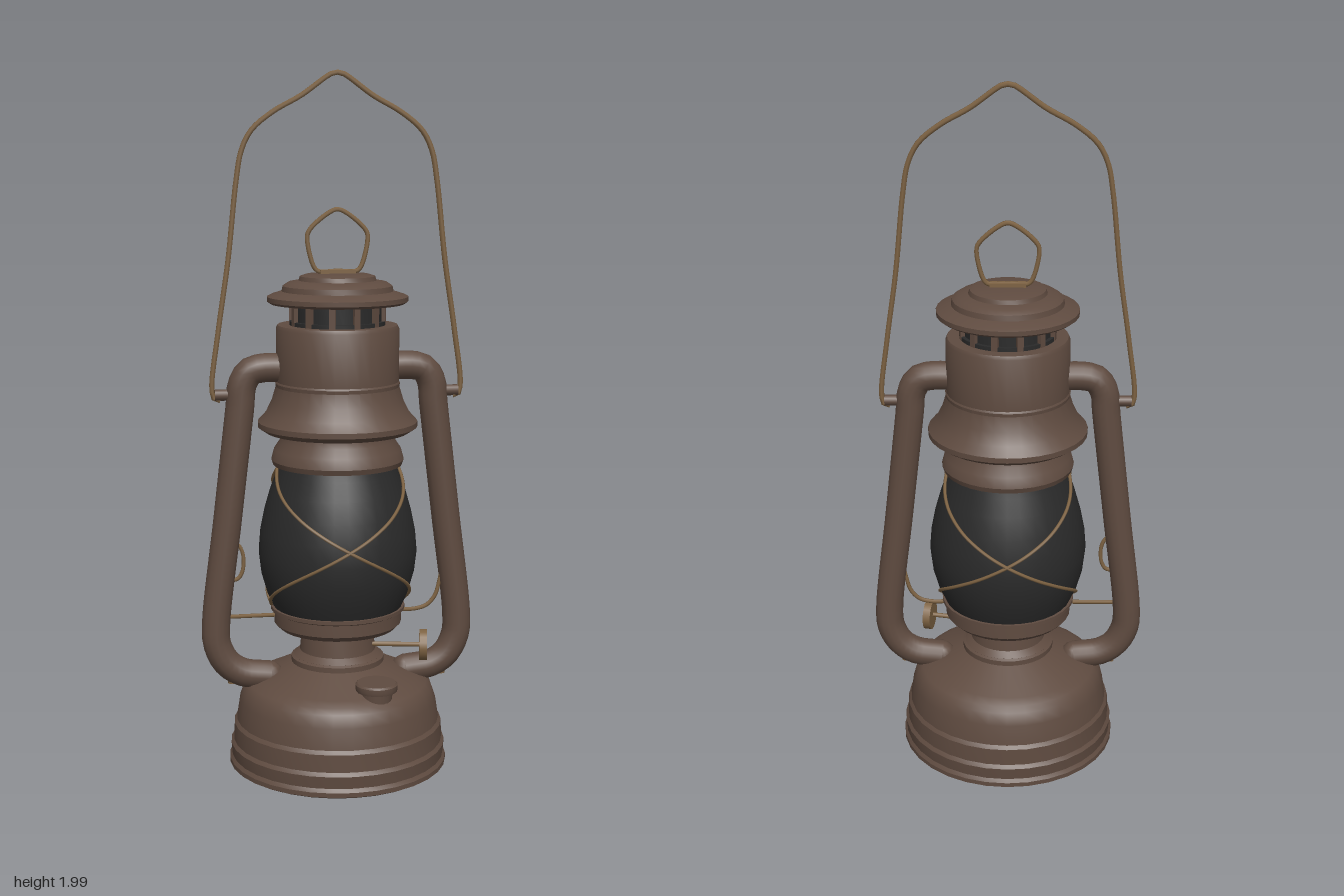
import * as THREE from 'three';
import { toCreasedNormals } from 'three/addons/utils/BufferGeometryUtils.js';

export function createModel() {
  const model = new THREE.Group();
  model.name = 'lantern';
  const mat = (name, color, side = THREE.FrontSide) => {
    const m = new THREE.MeshStandardMaterial({ color, side });
    m.name = name;
    return m;
  };
  const brown = mat('brownMetal', 0x5f4b40, THREE.DoubleSide);
  const dark = mat('smokedGlass', 0x2a2a2a, THREE.DoubleSide);
  const brass = mat('agedBrass', 0x7d6242);

  const add = (name, geometry, material, parent = model) => {
    const mesh = new THREE.Mesh(geometry, material);
    mesh.name = name;
    parent.add(mesh);
    return mesh;
  };
  const lathe = (name, pts, material, parent, segs = 32) => add(name,
    toCreasedNormals(new THREE.LatheGeometry(pts.map(p => new THREE.Vector2(...p)), segs), 0.5),
    material, parent);
  const path = (pts, closed = false) => new THREE.CatmullRomCurve3(
    pts.map(p => new THREE.Vector3(p[0], p[1], p[2] || 0)), closed, 'centripetal');
  const wire = (name, curve, r, material = brass, segs = 48, sides = 6) =>
    add(name, new THREE.TubeGeometry(curve, segs, r, sides, curve.closed), material);

  // Fuel tank with stepped sides and sloping shoulder
  lathe('fuelTank', [[0, 0.005], [0.305, 0.005], [0.318, 0.012], [0.318, 0.025], [0.311, 0.035],
    [0.314, 0.07], [0.306, 0.08], [0.304, 0.13], [0.296, 0.14], [0.287, 0.2], [0.275, 0.235],
    [0.26, 0.25], [0.235, 0.262], [0.135, 0.31], [0.135, 0.325], [0.12, 0.335]], brown);

  // Burner neck and globe seat
  lathe('burner', [[0.12, 0.3], [0.128, 0.33], [0.11, 0.345], [0.105, 0.395], [0.13, 0.405],
    [0.17, 0.415], [0.185, 0.43], [0.185, 0.465], [0.195, 0.47], [0.195, 0.48], [0, 0.48]], brown);

  // Glass globe
  const globe = [[0.185, 0.475], [0.205, 0.52], [0.222, 0.58], [0.229, 0.64], [0.224, 0.7],
    [0.212, 0.76], [0.195, 0.82], [0.176, 0.87], [0.165, 0.905]];
  lathe('globe', globe, dark);

  // Crossing guard wires wrapped around the globe
  const radiusAt = y => {
    let i = 1;
    while (i < globe.length - 1 && globe[i][1] < y) i++;
    const [r0, y0] = globe[i - 1], [r1, y1] = globe[i];
    return r0 + (r1 - r0) * (y - y0) / (y1 - y0) + 0.004;
  };
  for (const face of [1, -1]) for (const slant of [1, -1]) {
    const pts = [];
    for (let i = 0; i <= 16; i++) {
      const a = (i / 16 - 0.5) * Math.PI, y = 0.885 - 0.4 * i / 16, r = radiusAt(y);
      pts.push([slant * r * Math.sin(a), y, face * r * Math.cos(a)]);
    }
    wire('globeGuard', path(pts), 0.005);
  }

  // Globe collar, flared hood and chimney
  lathe('chimney', [[0.16, 0.895], [0.185, 0.895], [0.19, 0.91], [0.182, 0.94], [0.165, 0.965],
    [0.162, 0.985], [0.205, 0.99], [0.228, 1.005], [0.228, 1.02], [0.205, 1.045], [0.188, 1.08],
    [0.176, 1.12], [0.178, 1.13], [0.175, 1.135], [0.175, 1.285], [0.17, 1.295], [0, 1.295]], brown);

  // Vent gallery with posts
  lathe('ventCore', [[0.125, 1.29], [0.125, 1.37]], dark);
  for (let i = 0; i < 12; i++) {
    const a = (i + 0.5) * Math.PI / 6;
    const post = add('ventPost', new THREE.BoxGeometry(0.018, 0.075, 0.012), brown);
    post.position.set(0.131 * Math.sin(a), 1.325, 0.131 * Math.cos(a));
    post.rotation.y = a;
  }
  lathe('ventBand', [[0.136, 1.295], [0.136, 1.306], [0.125, 1.306]], dark);

  // Stepped cap
  lathe('cap', [[0, 1.355], [0.19, 1.355], [0.2, 1.362], [0.2, 1.375], [0.19, 1.38], [0.158, 1.39],
    [0.155, 1.405], [0.14, 1.415], [0.11, 1.42], [0.106, 1.432], [0.09, 1.437], [0, 1.44]], brown);

  // Lifting ring on the cap
  add('ringPlate', new THREE.BoxGeometry(0.1, 0.012, 0.026), brass).position.y = 1.443;
  wire('capRing', path([[-0.055, 1.446], [0, 1.446], [0.055, 1.446], [0.068, 1.46], [0.086, 1.54], [0.08, 1.56],
    [0.03, 1.605], [0, 1.618], [-0.03, 1.605], [-0.08, 1.56], [-0.086, 1.54], [-0.068, 1.46]], true),
    0.007, brass, 64);

  // Side air tubes, bail lugs
  for (const s of [1, -1]) {
    wire('sideTube', path([[s * 0.15, 1.175], [s * 0.215, 1.175], [s * 0.25, 1.165], [s * 0.272, 1.13],
      [s * 0.28, 1.06], [s * 0.318, 0.74], [s * 0.355, 0.43], [s * 0.352, 0.37], [s * 0.325, 0.315],
      [s * 0.28, 0.284], [s * 0.2, 0.272]]), 0.041, brown, 56, 14);
    add('tubeEnd', new THREE.SphereGeometry(0.04, 14, 8), brown).position.set(s * 0.2, 0.272, 0);
    const lug = add('bailLug', new THREE.CylinderGeometry(0.016, 0.016, 0.05, 10), brown);
    lug.rotation.z = Math.PI / 2;
    lug.position.set(s * 0.325, 1.1, 0);
    const rivet = add('tubeRivet', new THREE.CylinderGeometry(0.012, 0.012, 0.02, 8), brass);
    rivet.position.set(s * 0.31, 0.262, 0);
  }

  // Carrying bail
  const half = [[0.335, 1.085], [0.352, 1.09], [0.358, 1.12], [0.338, 1.28], [0.308, 1.48], [0.283, 1.7],
    [0.268, 1.78], [0.24, 1.835], [0.18, 1.885], [0.1, 1.93], [0.045, 1.97], [0.02, 1.987]];
  wire('bail', path([...half.map(([x, y]) => [-x, y]), [0, 1.992],
    ...half.slice().reverse()]), 0.008, brass, 110);

  // Globe lifter wire and its finger loop
  wire('lifterWire', path([[-0.32, 0.452], [-0.18, 0.452]]), 0.006, brass, 2);
  wire('lifterLever', path([[0.18, 0.452], [0.23, 0.452], [0.265, 0.462], [0.29, 0.49], [0.302, 0.53],
    [0.31, 0.57]]), 0.006, brass, 24);
  wire('fingerLoop', path([[-0.315, 0.56], [-0.29, 0.565], [-0.276, 0.59], [-0.276, 0.64],
    [-0.29, 0.665], [-0.315, 0.67]]), 0.006, brass, 24);

  // Wick adjuster: rod and turning wheel
  const wick = new THREE.Group();
  wick.name = 'wickAdjuster';
  wick.position.set(0.24, 0.365, 0.075);
  wick.rotation.y = -0.2;
  model.add(wick);
  const rod = add('wickRod', new THREE.CylinderGeometry(0.007, 0.007, 0.16, 8), brass, wick);
  rod.rotation.z = Math.PI / 2;
  rod.position.x = -0.07;
  add('wickWheel', new THREE.CylinderGeometry(0.045, 0.045, 0.022, 16), brass, wick).rotation.z = Math.PI / 2;

  // Filler cap on the tank shoulder
  const filler = new THREE.Group();
  filler.name = 'fillerCap';
  filler.position.set(0.08, 0, 0.2);
  model.add(filler);
  lathe('fillerNeck', [[0.042, 0.22], [0.046, 0.28]], brown, filler, 20);
  lathe('fillerLid', [[0.044, 0.276], [0.058, 0.278], [0.06, 0.285], [0.06, 0.297], [0.055, 0.302], [0, 0.302]],
    brown, filler, 20);

  return model;
}
